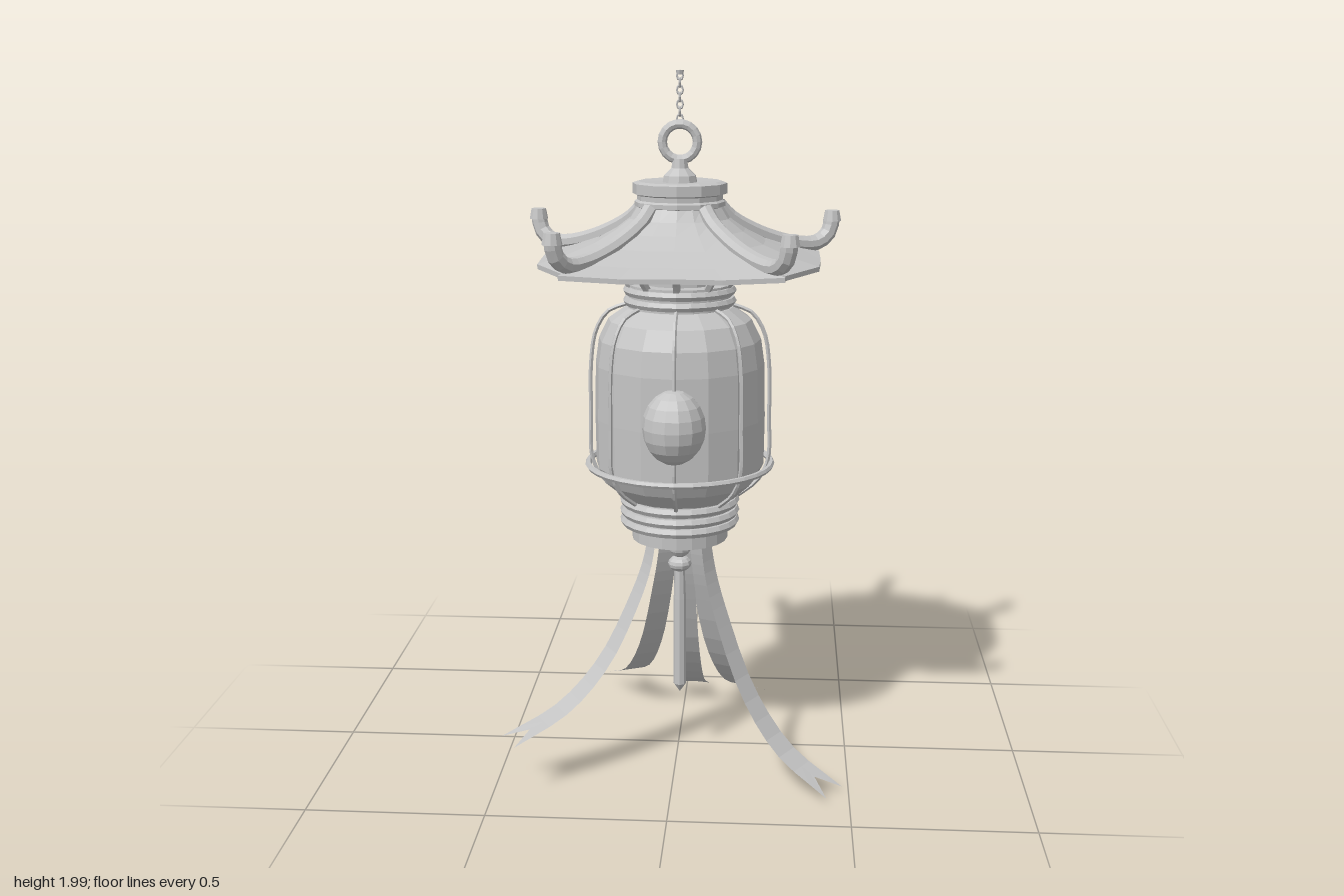
import * as THREE from 'three';

const grey = new THREE.MeshStandardMaterial({ color: 0xc4c4c4, flatShading: true, side: THREE.DoubleSide });
grey.name = 'pale grey';

const V = (x, y, z) => new THREE.Vector3(x, y, z);
const rad = THREE.MathUtils.degToRad;
// point at a radius, height and angle (degrees from the front, towards +x)
const polar = (r, y, deg) => V(r * Math.sin(rad(deg)), y, r * Math.cos(rad(deg)));

function createModel() {
  const root = new THREE.Group();
  root.name = 'hangingLantern';
  const lantern = new THREE.Group();
  lantern.name = 'lantern';
  lantern.position.set(0.008, 0, 0.067);
  root.add(lantern);

  const add = (name, geo, x = 0, y = 0, z = 0) => {
    const m = new THREE.Mesh(geo, grey);
    m.name = name;
    m.position.set(x, y, z);
    lantern.add(m);
    return m;
  };
  const lathe = (name, pts, sides) =>
    add(name, new THREE.LatheGeometry(pts.map(p => new THREE.Vector2(...p)), sides));
  const tube = (name, pts, r, seg = 16, sides = 6) =>
    add(name, new THREE.TubeGeometry(new THREE.CatmullRomCurve3(pts), seg, r, sides));
  const hoop = (name, r, t, y, sides = 24) => {
    const m = add(name, new THREE.TorusGeometry(r, t, 6, sides), 0, y, 0);
    m.rotation.x = Math.PI / 2;
  };
  // surface through closed or open rows of points
  const loft = (name, rows) => {
    const n = rows[0].length, pos = [], idx = [];
    rows.forEach(row => row.forEach(p => pos.push(p.x, p.y, p.z)));
    for (let i = 0; i < rows.length - 1; i++)
      for (let j = 0; j < n - 1; j++) {
        const a = i * n + j, b = a + n;
        idx.push(a, b, a + 1, a + 1, b, b + 1);
      }
    const g = new THREE.BufferGeometry();
    g.setAttribute('position', new THREE.Float32BufferAttribute(pos, 3));
    g.setIndex(idx);
    g.computeVertexNormals();
    return add(name, g);
  };

  // chain and hanging ring
  for (let i = 0; i < 7; i++) {
    const link = add('chainLink', new THREE.TorusGeometry(0.008, 0.003, 5, 8), 0, 1.872 + i * 0.019, 0);
    link.scale.y = 1.4;
    link.rotation.y = (i % 2) * Math.PI / 2;
  }
  add('chainEnd', new THREE.CylinderGeometry(0.011, 0.009, 0.012, 8), 0, 1.994, 0);
  add('hangingRing', new THREE.TorusGeometry(0.048, 0.013, 8, 18), 0, 1.81, 0);
  lathe('ringMount', [[0, 1.765], [0.02, 1.765], [0.024, 1.74], [0.045, 1.72], [0.05, 1.695]], 10);

  // cap on top of the roof
  lathe('roofCap', [[0, 1.7], [0.115, 1.705], [0.13, 1.7], [0.13, 1.672], [0.118, 1.668],
    [0.118, 1.655], [0.125, 1.65], [0.125, 1.638], [0.1, 1.63]], 12);

  // five-cornered curved roof: half of the outline as [angle, radius], mirrored
  const half = [[0, 0.355], [20, 0.385], [39, 0.46], [46, 0.405], [75, 0.395], [95, 0.39],
    [117, 0.435], [148, 0.39], [180, 0.4]];
  const outline = [...half, ...half.slice(0, -1).reverse().map(([a, r]) => [360 - a, r])];
  const roofSteps = [[0, 1.65], [0.1, 1.605], [0.25, 1.573], [0.45, 1.54], [0.75, 1.507], [1, 1.487],
    [1, 1.474], [0.15, 1.476]];
  loft('roof', roofSteps.map(([t, y]) => outline.map(([a, r]) =>
    polar(0.11 + (r - 0.11) * t, y + 0.12 * Math.max(0, r - 0.4) * t, a))));

  // roof ribs with upturned ends
  const ribs = [[39, 0.478], [117, 0.475], [180, 0.465], [243, 0.475], [321, 0.478]];
  for (const [a, r] of ribs) {
    const k = r / 0.47;
    const path = [[0.115, 1.635], [0.15, 1.6], [0.25, 1.548], [0.36, 1.517], [0.425, 1.517],
      [0.46, 1.545], [0.47, 1.588]];
    tube('roofRib', path.map(([d, y]) => polar(d * k, y, a)), 0.023, 18, 8);
    const tip = polar(r, 1.59, a);
    add('ribTip', new THREE.CylinderGeometry(0.021, 0.027, 0.03, 10), tip.x, tip.y, tip.z);
  }

  // open gallery beneath the roof
  lathe('galleryCore', [[0.105, 1.48], [0.105, 1.4]], 12);
  hoop('galleryRim', 0.178, 0.01, 1.465);
  for (let i = 0; i < 10; i++)
    tube('galleryStrut', [polar(0.135, 1.415, i * 36), polar(0.15, 1.435, i * 36), polar(0.18, 1.47, i * 36)], 0.011, 4, 5);

  // collar
  lathe('collar', [[0.1, 1.425], [0.145, 1.425], [0.145, 1.36], [0.12, 1.35]], 20);
  hoop('collarRing', 0.145, 0.013, 1.407);
  hoop('collarRing', 0.145, 0.013, 1.378);

  // body with its wire cage
  lathe('body', [[0.1, 1.365], [0.15, 1.36], [0.2, 1.325], [0.227, 1.27], [0.237, 1.2], [0.24, 1.05],
    [0.238, 0.91], [0.215, 0.865], [0.165, 0.82], [0.1, 0.815]], 16);
  for (let i = 0; i < 8; i++)
    tube('cageWire', [[0.15, 1.365], [0.2, 1.345], [0.235, 1.29], [0.25, 1.2], [0.252, 1.05],
      [0.25, 0.92], [0.22, 0.86], [0.165, 0.815]].map(([r, y]) => polar(r, y, i * 45)), 0.006, 24, 5);
  hoop('lowerHoop', 0.26, 0.009, 0.912, 32);
  add('frontBoss', new THREE.SphereGeometry(0.086, 14, 10), 0, 1.072, 0.247).scale.y = 1.19;

  // base
  lathe('base', [[0, 0.82], [0.155, 0.82], [0.155, 0.735], [0.137, 0.73], [0.137, 0.69], [0, 0.69]], 20);
  [0.803, 0.773, 0.745].forEach(y => hoop('baseRing', 0.157, 0.014, y));

  // central pendant
  add('pendantBead', new THREE.SphereGeometry(0.034, 10, 8), 0, 0.66, 0);
  add('pendantBead', new THREE.SphereGeometry(0.034, 10, 8), 0, 0.607, 0).scale.y = 0.7;
  lathe('pendantRod', [[0.014, 0.6], [0.018, 0.5], [0.019, 0.235], [0, 0.208]], 8);

  // swallow-tailed streamers: end x, height, z
  const ends = [[-0.465, 0.165, 0.285], [0.45, 0.035, 0.275], [-0.225, 0.06, -0.5], [0.02, 0.015, -0.52], [0.222, 0.02, -0.475]];
  for (const [x, y, z] of ends) {
    const len = Math.hypot(x, z), a = Math.atan2(x, z) * 180 / Math.PI;
    const curve = new THREE.CatmullRomCurve3(
      [[0, 1], [0.04, 0.85], [0.12, 0.68], [0.34, 0.35], [0.62, 0.13], [1, 0]]
        .map(([f, h]) => polar(0.09 + (len - 0.09) * f, y + (0.695 - y) * h, a)));
    const side = polar(1, 0, a + 90), rows = [];
    for (let i = 0; i <= 16; i++) {
      const t = i / 16, p = curve.getPoint(t), w = 0.024 + 0.02 * t;
      const mid = i === 16 ? curve.getPoint(0.925) : i === 15 ? curve.getPoint(0.91) : p;
      rows.push([p.clone().addScaledVector(side, -w), mid, p.clone().addScaledVector(side, w)]);
    }
    loft('streamer', rows);
  }
  return root;
}

export { createModel };
